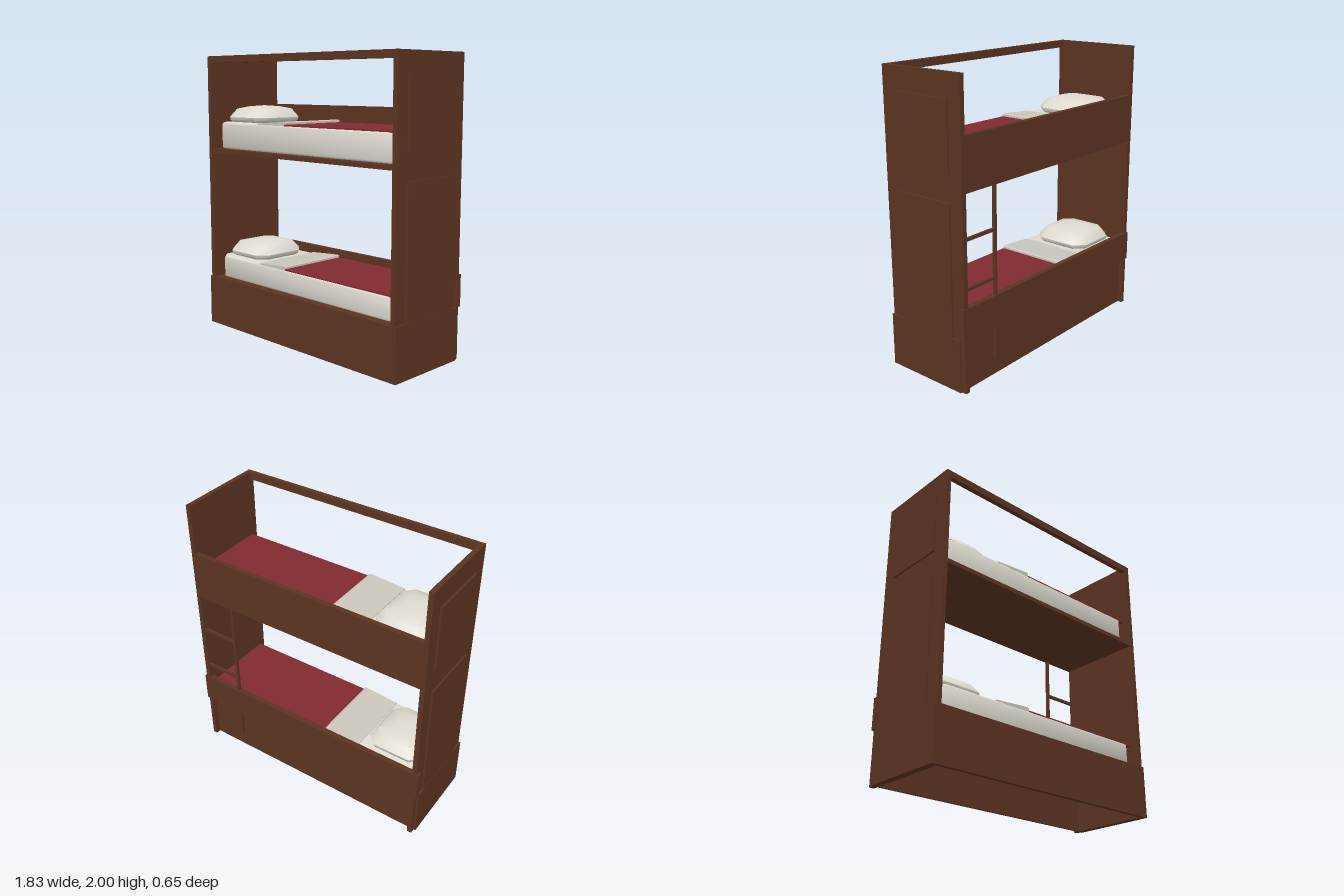
import * as THREE from 'three';
import { mergeVertices, toCreasedNormals } from 'three/addons/utils/BufferGeometryUtils.js';

const mat = (name, color, side = THREE.FrontSide) => {
  const m = new THREE.MeshStandardMaterial({ color, side });
  m.name = name;
  return m;
};

export function createModel() {
  const root = new THREE.Group();
  root.name = 'bunkBed';
  const wood = mat('brown wood', 0x5c3421);
  const linen = mat('cream linen', 0xdedacf);
  const sheet = mat('folded sheet', 0xcac6bb);
  const red = mat('red blanket', 0x802b2f);

  const add = (parent, name, geometry, material) => {
    const mesh = new THREE.Mesh(geometry, material);
    mesh.name = name;
    parent.add(mesh);
    return mesh;
  };
  // Box given by its minimum and maximum on each axis
  const box = (parent, name, material, x0, x1, y0, y1, z0, z1) => {
    const g = new THREE.BoxGeometry(x1 - x0, y1 - y0, z1 - z0);
    g.translate((x0 + x1) / 2, (y0 + y1) / 2, (z0 + z1) / 2);
    return add(parent, name, g, material);
  };

  // End walls with raised panels and base plates
  for (const s of [1, -1]) {
    const end = new THREE.Group();
    end.name = s > 0 ? 'leftEnd' : 'rightEnd';
    root.add(end);
    const slab = (name, a, b, ...rest) =>
      box(end, name, wood, Math.min(s * a, s * b), Math.max(s * a, s * b), ...rest);
    slab('endWall', 0.87, 0.903, 0, 2, -0.322, 0.322);
    slab('upperPanel', 0.9, 0.915, 1.41, 1.85, -0.225, 0.225);
    slab('lowerPanel', 0.9, 0.915, 0.36, 1.23, -0.225, 0.225);
    slab('basePlate', 0.9, 0.917, 0, 0.36, -0.287, 0.31);
  }

  // Base, bed decks, rails and back boards
  box(root, 'baseFront', wood, -0.917, 0.917, 0, 0.36, 0.295, 0.325);
  box(root, 'baseBack', wood, -0.87, 0.87, 0, 0.36, -0.287, -0.27);
  box(root, 'lowerDeck', wood, -0.87, 0.87, 0.335, 0.36, -0.29, 0.31);
  box(root, 'upperDeck', wood, -0.87, 0.87, 1.3, 1.33, -0.29, 0.322);
  box(root, 'lowerBackBoard', wood, -0.917, 0.917, 0.36, 0.575, -0.325, -0.287);
  box(root, 'upperBackBoard', wood, -0.87, 0.87, 1.3, 1.645, -0.322, -0.287);
  box(root, 'topRail', wood, -0.87, 0.87, 1.95, 2, 0.287, 0.322);

  // Ladder
  const ladder = new THREE.Group();
  ladder.name = 'ladder';
  root.add(ladder);
  box(ladder, 'stile', wood, 0.595, 0.613, 0.13, 1.3, -0.315, -0.293);
  for (const y of [0.69, 1.01]) box(ladder, 'rung', wood, 0.6, 0.87, y - 0.01, y + 0.01, -0.313, -0.295);

  // Rectangle outline with cut corners
  const octagon = (hx, hz, c) => [
    [hx, -hz + c], [hx, hz - c], [hx - c, hz], [-hx + c, hz],
    [-hx, hz - c], [-hx, -hz + c], [-hx + c, -hz], [hx - c, -hz],
  ];

  // Pillow from stacked rings, closed by a shallow crown
  const pillowGeometry = () => {
    const rings = [
      [0, 0.19, 0.2], [0.012, 0.205, 0.215], [0.035, 0.21, 0.22],
      [0.095, 0.165, 0.175], [0.112, 0.09, 0.1],
    ];
    const pos = [], index = [];
    for (const [y, hx, hz] of rings)
      for (const [x, z] of octagon(hx, hz, hx * 0.36)) pos.push(x, y, z);
    pos.push(0, 0, 0, 0, 0.12, 0);
    const n = rings.length * 8, last = n - 8;
    for (let i = 0; i < 8; i++) {
      const j = (i + 1) % 8;
      for (let r = 0; r < last; r += 8) {
        index.push(r + i, r + 8 + i, r + j, r + j, r + 8 + i, r + 8 + j);
      }
      index.push(n, i, j, n + 1, last + j, last + i);
    }
    const g = new THREE.BufferGeometry();
    g.setAttribute('position', new THREE.Float32BufferAttribute(pos, 3));
    g.setIndex(index);
    return toCreasedNormals(g, 0.75);
  };

  // Mattress with cut corners and softened lower edge
  const mattressGeometry = (h) => {
    const shape = new THREE.Shape(octagon(0.855, 0.257, 0.055).map(([x, z]) => new THREE.Vector2(x, z)));
    const b = 0.015;
    let g = new THREE.ExtrudeGeometry(shape, {
      depth: h - 2 * b, bevelEnabled: true, bevelThickness: b, bevelSize: b, bevelSegments: 2,
    });
    g.rotateX(-Math.PI / 2);
    g.translate(0, b, 0);
    g.deleteAttribute('uv');
    g.deleteAttribute('normal');
    g = mergeVertices(g, 1e-4);
    return toCreasedNormals(g, 0.9);
  };

  // Folded sheet, a wedge rising towards the blanket
  const foldGeometry = () => {
    const s = new THREE.Shape([
      [-0.41, -0.005], [-0.135, -0.005], [-0.135, 0.018], [-0.15, 0.024], [-0.22, 0.019], [-0.41, 0.004],
    ].map(([x, y]) => new THREE.Vector2(x, y)));
    const g = new THREE.ExtrudeGeometry(s, { depth: 0.54, bevelEnabled: false });
    g.translate(0, 0, -0.272);
    return g;
  };

  // Bedding on both levels
  for (const [name, y0, y1] of [['lowerBedding', 0.36, 0.522], ['upperBedding', 1.33, 1.522]]) {
    const bed = new THREE.Group();
    bed.name = name;
    root.add(bed);
    add(bed, 'mattress', mattressGeometry(y1 - y0), linen).position.y = y0;
    box(bed, 'blanket', red, -0.38, 0.862, y1 - 0.006, y1 + 0.006, -0.274, 0.266);
    add(bed, 'foldedSheet', foldGeometry(), sheet).position.y = y1 + 0.001;
    add(bed, 'pillow', pillowGeometry(), linen).position.set(-0.648, y1 + 0.003, 0);
  }
  return root;
}
